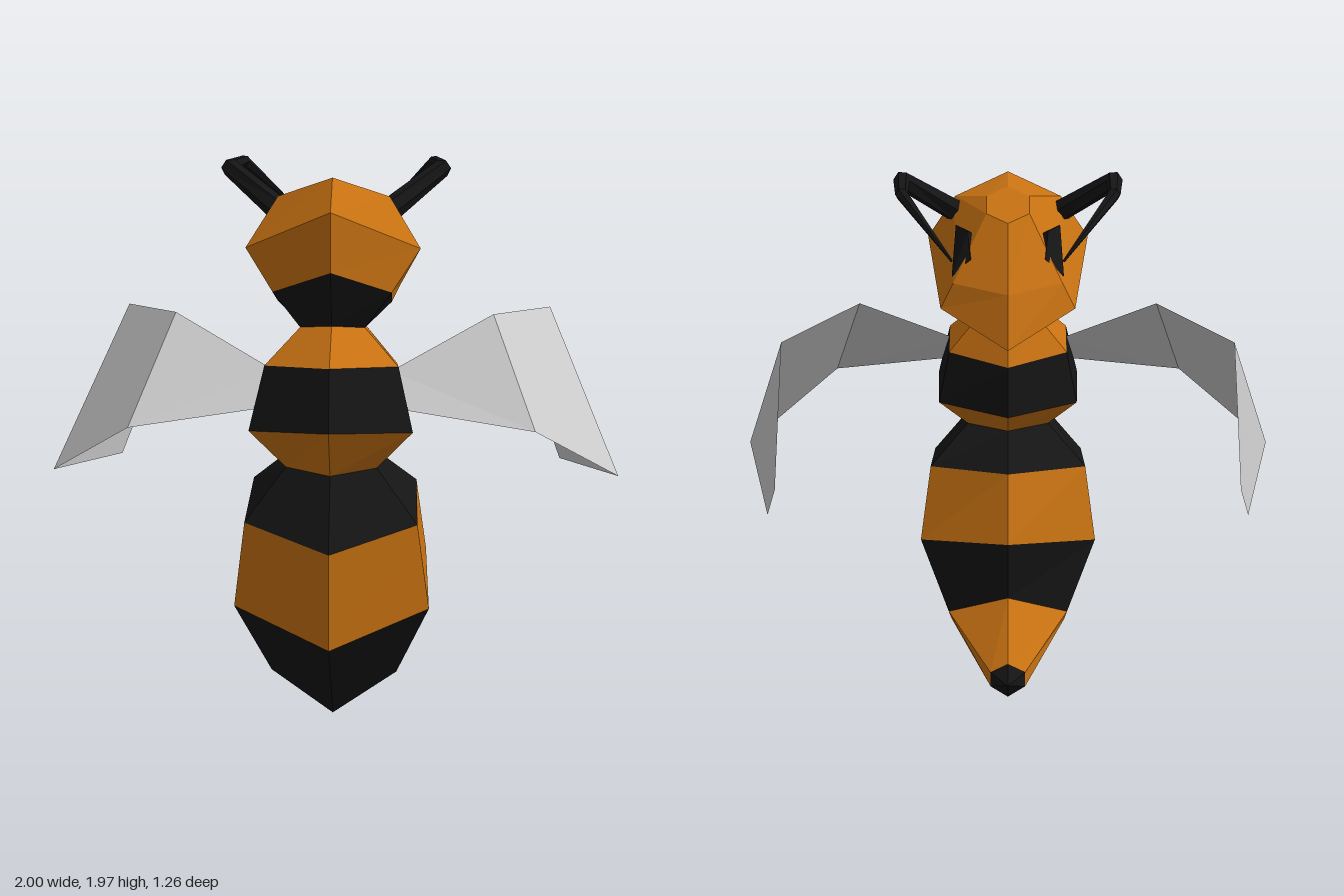
import * as THREE from 'three';
import { ConvexGeometry } from 'three/addons/geometries/ConvexGeometry.js';

const mat = (color, side = THREE.FrontSide) =>
  new THREE.MeshStandardMaterial({ color, flatShading: true, side });
const AMBER = mat(0xc87212);
const BLACK = mat(0x151515);
const WING = mat(0xcccccc, THREE.DoubleSide);

const V = (x, y, z) => new THREE.Vector3(x, y, z);

function meshFrom(name, points, material) {
  const g = new THREE.BufferGeometry().setFromPoints(points);
  g.computeVertexNormals();
  const m = new THREE.Mesh(g, material);
  m.name = name;
  return m;
}

// Six-sided ring: front, two side pairs, back; each given as [y, z]
function hex(x1, x2, front, side1, side2, back) {
  return [V(0, ...front), V(x1, ...side1), V(x2, ...side2),
    V(0, ...back), V(-x2, ...side2), V(-x1, ...side1)];
}

// Triangles of the bands between rings, listed bottom to top
function loft(rings, closed = true) {
  const out = [];
  for (let r = 0; r < rings.length - 1; r++) {
    const a = rings[r], b = rings[r + 1], n = a.length;
    for (let i = 0; i < (closed ? n : n - 1); i++) {
      const j = (i + 1) % n;
      out.push(a[i], a[j], b[j], a[i], b[j], b[i]);
    }
  }
  return out;
}

// Fan that closes the top of a ring
function cap(ring) {
  const out = [];
  for (let i = 1; i < ring.length - 1; i++) out.push(ring[0], ring[i], ring[i + 1]);
  return out;
}

// Cross-sections of the whole body, from the sting to the crown
const stingTip = Array.from({ length: 6 }, () => V(0, 0.33, -0.63));
const tailEnd = hex(0.065, 0.065, [0.05, -0.245], [0.095, -0.245], [0.155, -0.245], [0.19, -0.245]);
const tailBase = hex(0.23, 0.23, [0, 0.32], [0.125, 0.23], [0.27, 0.02], [0.37, -0.06]);
const belly = hex(0.34, 0.335, [0.37, 0.615], [0.455, 0.43], [0.555, 0.07], [0.615, -0.105]);
const upperBelly = hex(0.295, 0.295, [0.72, 0.635], [0.775, 0.47], [0.835, 0.13], [0.855, 0]);
const waist = hex(0.155, 0.155, [0.955, 0.51], [0.96, 0.42], [0.97, 0.24], [0.975, 0.14]);
const chest = hex(0.275, 0.26, [1.13, 0.62], [1.1, 0.475], [1.08, 0.17], [1.065, 0.04]);
const shoulder = hex(0.225, 0.22, [1.33, 0.55], [1.31, 0.41], [1.275, 0.18], [1.256, 0.05]);
const neck = hex(0.11, 0.11, [1.44, 0.38], [1.425, 0.32], [1.41, 0.19], [1.4, 0.12]);
const jaw = hex(0.2, 0.2, [1.63, 0.46], [1.55, 0.35], [1.485, 0.14], [1.46, 0.06]);
const cheek = hex(0.295, 0.235, [1.825, 0.46], [1.69, 0.29], [1.52, -0.09], [1.42, -0.265]);
const brow = hex(0.19, 0.19, [1.925, 0.31], [1.855, 0.21], [1.61, -0.09], [1.595, -0.195]);
const crown = hex(0.075, 0.075, [1.905, 0.125], [1.88, 0.08], [1.835, 0], [1.81, -0.045]);

// Tapered antenna bent through four joints
function antenna() {
  const path = [V(0.18, 1.8, 0.19), V(0.37, 1.94, 0.055), V(0.35, 1.945, -0.215), V(0.18, 1.765, -0.4)];
  const radii = [0.042, 0.032, 0.022, 0.004];
  const rings = path.map((p, k) => {
    const before = p.clone().sub(path[Math.max(k - 1, 0)]).normalize();
    const after = path[Math.min(k + 1, 3)].clone().sub(p).normalize();
    const t = before.add(after).normalize();
    const u = V(0, 1, 0).cross(t).normalize();
    const v = t.clone().cross(u);
    return Array.from({ length: 6 }, (_, i) => {
      const a = (i * Math.PI) / 3;
      return p.clone().addScaledVector(u, radii[k] * Math.cos(a)).addScaledVector(v, radii[k] * Math.sin(a));
    });
  });
  return meshFrom('antenna', [...loft(rings), ...cap(rings[3])], BLACK);
}

// Thin wing folded along three panels
function wing() {
  const folds = [
    [V(0.2, 1.28, 0.34), V(0.235, 1.17, 0.44)],
    [V(0.55, 1.455, 0.21), V(0.68, 1.11, 0.487)],
    [V(0.785, 1.42, -0.165), V(1, 0.89, 0.245)],
    [V(0.805, 0.95, -0.365), V(0.855, 0.81, -0.265)],
  ];
  return meshFrom('wing', loft(folds, false), WING);
}

// Slanted eye, a thin chip set into the brow
function eye() {
  const outer = [V(0.185, 1.775, 0.09), V(0.14, 1.775, -0.01), V(0.13, 1.69, -0.07), V(0.195, 1.63, -0.065)];
  const inner = outer.map((p) => p.clone().add(V(-0.04, -0.02, 0.03)));
  const m = new THREE.Mesh(new ConvexGeometry([...outer, ...inner]), BLACK);
  m.name = 'eye';
  return m;
}

export function createModel() {
  const model = new THREE.Group();
  model.name = 'stripedWasp';

  // Striped bands of abdomen, thorax and head
  const bands = [
    ['sting', BLACK, stingTip, tailEnd],
    ['tail', AMBER, tailEnd, tailBase],
    ['lowerAbdomen', BLACK, tailBase, belly],
    ['middleAbdomen', AMBER, belly, upperBelly],
    ['upperAbdomen', BLACK, upperBelly, waist],
    ['lowerThorax', AMBER, waist, chest],
    ['middleThorax', BLACK, chest, shoulder],
    ['upperThorax', AMBER, shoulder, neck],
    ['jaw', BLACK, neck, jaw],
  ];
  for (const [name, material, ...rings] of bands) model.add(meshFrom(name, loft(rings), material));
  model.add(meshFrom('head', [...loft([jaw, cheek, brow, crown]), ...cap(crown)], AMBER));

  // Mirrored pairs
  for (const [name, sign] of [['left', 1], ['right', -1]]) {
    const half = new THREE.Group();
    half.name = name + 'Side';
    half.add(wing(), antenna(), eye());
    half.scale.x = sign;
    model.add(half);
  }
  return model;
}
